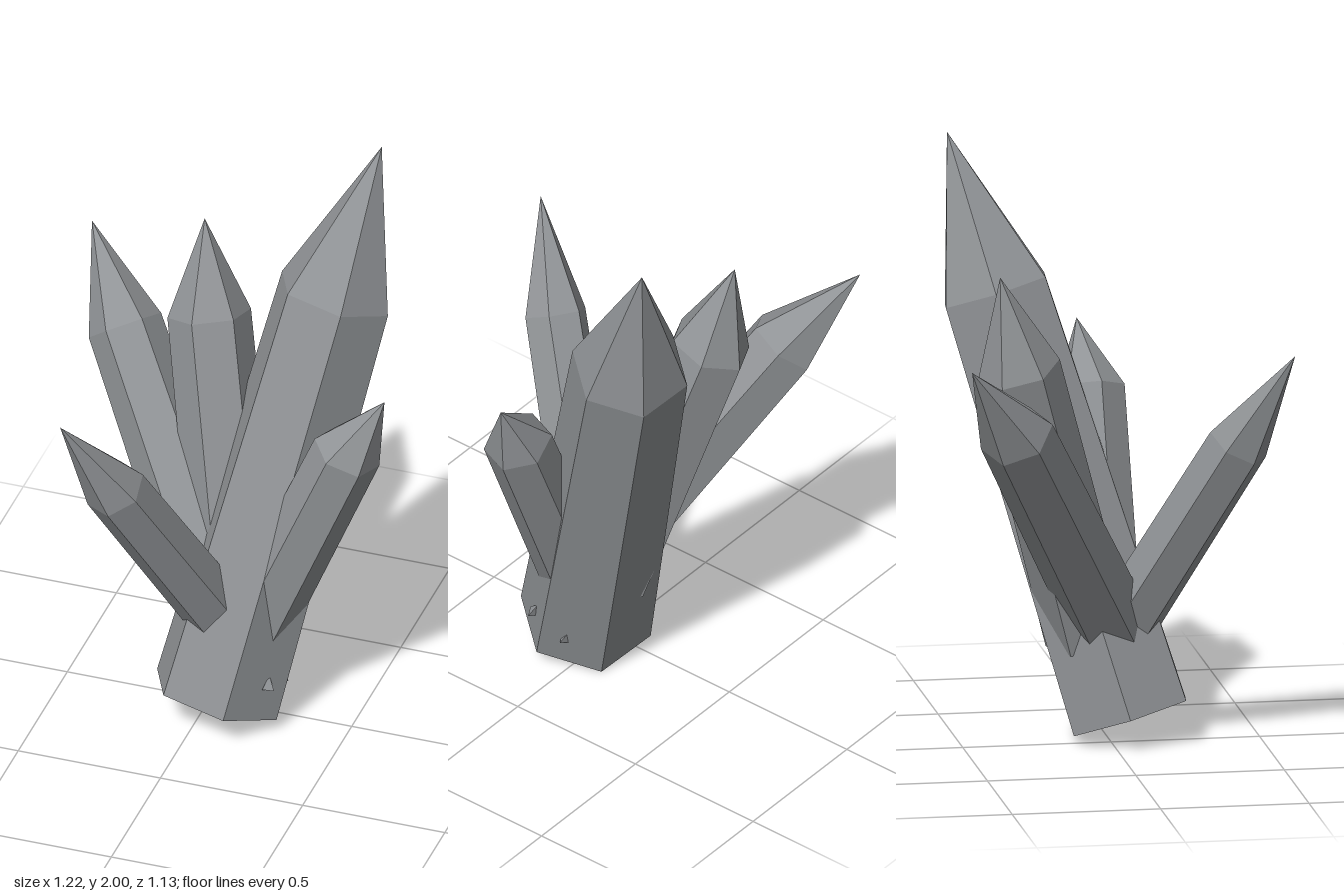
import * as THREE from 'three';

const stone = new THREE.MeshStandardMaterial({ color: 0x909396 });
stone.name = 'greyStone';

const V = (p) => new THREE.Vector3(...p);

// Six-sided tapered shaft with a pointed cap.
// corner: direction from the axis towards one of the shaft's edges.
function crystal({ name, base, shoulder, tip, corner, r0, r1 }) {
  const axis = V(shoulder).sub(V(base));
  const length = axis.length();
  axis.normalize();
  const side = new THREE.Vector3().crossVectors(axis, V(corner)).normalize();
  const edge = new THREE.Vector3().crossVectors(side, axis);
  const profile = [[0, 0], [r0, 0], [r1, length], [0, length + 1]]
    .map(([x, y]) => new THREE.Vector2(x, y));
  const lathe = new THREE.LatheGeometry(profile, 6);
  lathe.applyMatrix4(new THREE.Matrix4().makeBasis(side, axis, edge).setPosition(...base));
  // pull the cap's apex to its exact place
  const pos = lathe.attributes.position;
  for (let i = 3; i < pos.count; i += 4) pos.setXYZ(i, ...tip);
  const geo = lathe.toNonIndexed(); // unshared corners give flat faces
  geo.computeVertexNormals();
  const mesh = new THREE.Mesh(geo, stone);
  mesh.name = name;
  return mesh;
}

// Tiny three-sided spur poking out of the main shaft
function spur(name, x, y, z) {
  const geo = new THREE.ConeGeometry(0.024, 0.05, 3).toNonIndexed();
  geo.computeVertexNormals();
  const mesh = new THREE.Mesh(geo, stone);
  mesh.name = name;
  mesh.position.set(x, y, z);
  mesh.rotation.set(-0.28, Math.PI / 2, -0.2);
  return mesh;
}

export function createModel() {
  const group = new THREE.Group();
  group.name = 'crystalCluster';

  const crystals = [
    { name: 'mainCrystal', base: [0.05, 0.075, 0.07], shoulder: [0.325, 1.48, -0.337],
      tip: [0.44, 2, -0.48], corner: [-0.22, 0.035, -0.033], r0: 0.226, r1: 0.2 },
    { name: 'backRightCrystal', base: [0.06, 0.36, 0.02], shoulder: [-0.432, 1.155, -0.39],
      tip: [-0.61, 1.42, -0.57], corner: [0.0975, 0.05, -0.065], r0: 0.14, r1: 0.127 },
    { name: 'frontRightCrystal', base: [0.075, 0.32, 0.015], shoulder: [-0.195, 1.045, 0.395],
      tip: [-0.33, 1.37, 0.565], corner: [0.09, 0.006, 0.055], r0: 0.112, r1: 0.106 },
    { name: 'leftCrystal', base: [0.18, 0.37, 0.01], shoulder: [0.487, 1.1, 0.01],
      tip: [0.61, 1.31, -0.015], corner: [0.035, -0.016, -0.11], r0: 0.122, r1: 0.117 },
    { name: 'backCrystal', base: [0.075, 0.35, -0.065], shoulder: [-0.115, 1.31, -0.33],
      tip: [-0.155, 1.635, -0.4], corner: [0.015, -0.033, -0.135], r0: 0.146, r1: 0.14 },
  ];
  for (const c of crystals) group.add(crystal(c));

  group.add(spur('frontSpur', 0.25, 0.2, 0.125), spur('sideSpur', 0.253, 0.155, -0.012));
  return group;
}
